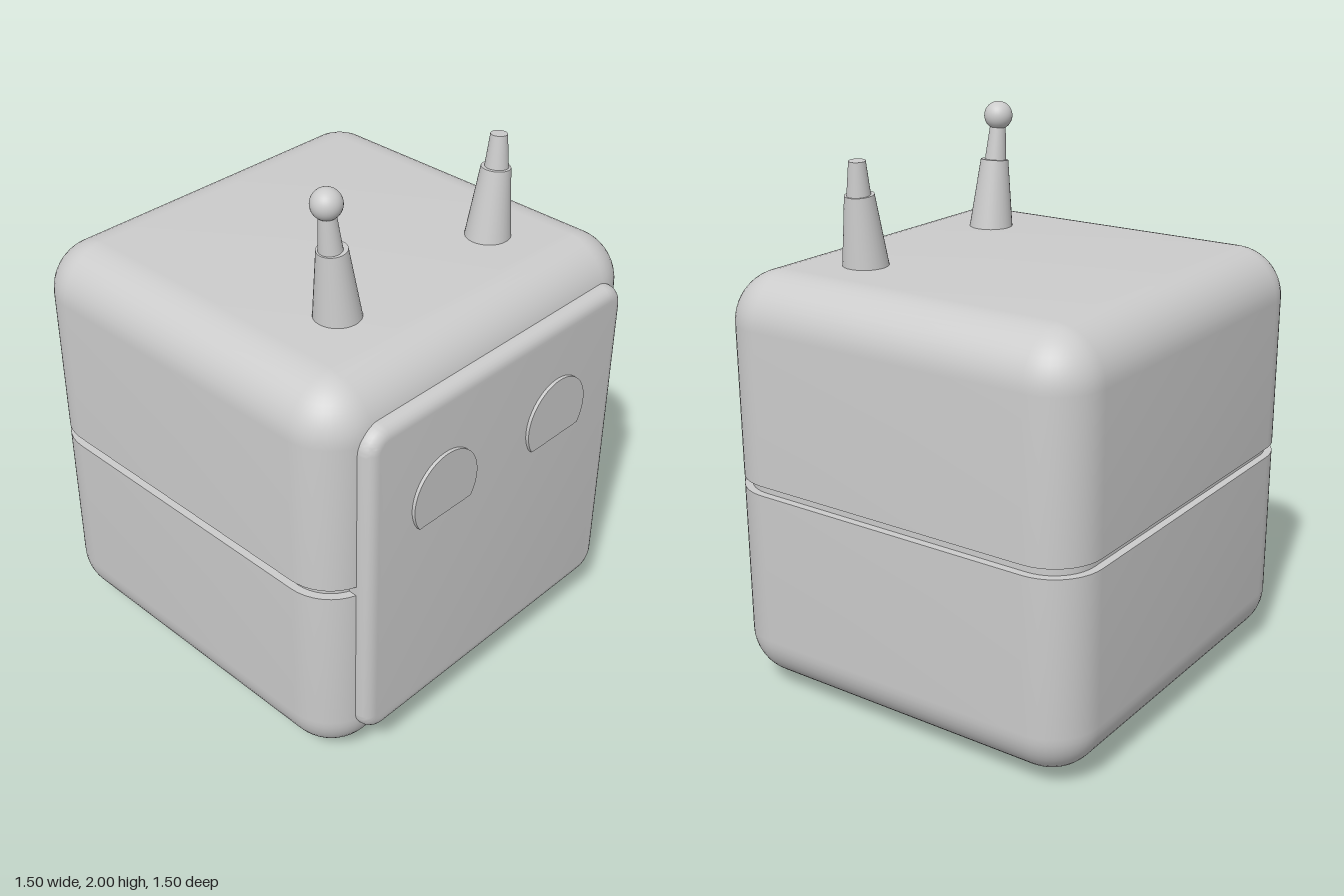
import * as THREE from 'three';
import { toCreasedNormals } from 'three/addons/utils/BufferGeometryUtils.js';

const material = new THREE.MeshStandardMaterial({ color: 0xcccccc });

function add(parent, name, geometry, x = 0, y = 0, z = 0) {
  const mesh = new THREE.Mesh(geometry, material);
  mesh.name = name;
  mesh.position.set(x, y, z);
  parent.add(mesh);
  return mesh;
}

// Rounded box whose horizontal sections are stacked from [inset, y] rows
function loftBody(x0, x1, z0, z1, r, rows, arc = 10) {
  const pos = [], idx = [];
  const corners = [[x1 - r, z1 - r], [x0 + r, z1 - r], [x0 + r, z0 + r], [x1 - r, z0 + r]];
  for (const [inset, y] of rows) {
    corners.forEach(([cx, cz], k) => {
      for (let i = 0; i <= arc; i++) {
        const a = (k + i / arc) * Math.PI / 2;
        pos.push(cx + (r - inset) * Math.cos(a), y, cz + (r - inset) * Math.sin(a));
      }
    });
  }
  const n = 4 * (arc + 1), last = (rows.length - 1) * n;
  for (let j = 0; j < rows.length - 1; j++) {
    for (let i = 0; i < n; i++) {
      const a = j * n + i, b = j * n + (i + 1) % n;
      idx.push(a, a + n, b, b, a + n, b + n);
    }
  }
  // Flat bottom and top
  const cx = (x0 + x1) / 2, cz = (z0 + z1) / 2, c = pos.length / 3;
  pos.push(cx, rows[0][1], cz, cx, rows[rows.length - 1][1], cz);
  for (let i = 0; i < n; i++) {
    const k = (i + 1) % n;
    idx.push(c, i, k, c + 1, last + k, last + i);
  }
  const g = new THREE.BufferGeometry();
  g.setAttribute('position', new THREE.Float32BufferAttribute(pos, 3));
  g.setIndex(idx);
  return toCreasedNormals(g, 0.6);
}

function roundedRect(w, h, r) {
  const s = new THREE.Shape();
  s.absarc(w / 2 - r, h / 2 - r, r, 0, Math.PI / 2);
  s.absarc(-w / 2 + r, h / 2 - r, r, Math.PI / 2, Math.PI);
  s.absarc(-w / 2 + r, -h / 2 + r, r, Math.PI, Math.PI * 1.5);
  s.absarc(w / 2 - r, -h / 2 + r, r, Math.PI * 1.5, Math.PI * 2);
  return s;
}

// Tapered cylinder running between two points
function taper(parent, name, from, to, r0, r1) {
  const a = new THREE.Vector3(...from), b = new THREE.Vector3(...to);
  const dir = b.clone().sub(a);
  const mesh = add(parent, name, new THREE.CylinderGeometry(r1, r0, dir.length(), 32));
  mesh.position.copy(a).add(b).multiplyScalar(0.5);
  mesh.quaternion.setFromUnitVectors(new THREE.Vector3(0, 1, 0), dir.normalize());
}

export function createModel() {
  const model = new THREE.Group();
  model.name = 'boxRobot';

  // Body with rounded edges and a groove around the middle
  const R = 0.18, bottom = 0.04, top = 1.545, steps = 12;
  const rows = [];
  for (let i = 0; i <= steps; i++) {
    const t = i / steps * Math.PI / 2;
    rows.push([R * (1 - Math.sin(t)), bottom + R * (1 - Math.cos(t))]);
  }
  const upper = rows.map(([inset, y]) => [inset, top + bottom - y]).reverse();
  rows.push([0, 0.78], [0.028, 0.78], [0.028, 0.815], [0, 0.815], ...upper);
  add(model, 'body', loftBody(-0.75, 0.692, -0.752, 0.752, R, rows));

  // Face panel with a soft front edge
  const bevel = 0.045;
  const panel = new THREE.ExtrudeGeometry(roundedRect(1.26 - 2 * bevel, 1.255 - 2 * bevel, 0.04), {
    depth: 0.1, bevelSize: bevel, bevelThickness: bevel, bevelSegments: 6, curveSegments: 8,
  });
  panel.rotateY(Math.PI / 2);
  add(model, 'facePanel', toCreasedNormals(panel, 0.6), 0.735 - 0.1 - bevel, 0.7925, 0);

  // Eyes: discs with the lower part cut off flat
  for (const [name, z] of [['eyeA', 0.285], ['eyeB', -0.28]]) {
    const cut = Math.asin(0.085 / 0.15);
    const shape = new THREE.Shape();
    shape.absarc(0, 0, 0.15, -cut, Math.PI + cut);
    const eye = new THREE.ExtrudeGeometry(shape, { depth: 0.03, bevelEnabled: false, curveSegments: 40 });
    eye.rotateY(Math.PI / 2);
    add(model, name, toCreasedNormals(eye, 0.6), 0.717, 1.04, z);
  }

  // Leaning two-stage antennas, one tipped with a ball
  const ballAntenna = new THREE.Group();
  ballAntenna.name = 'ballAntenna';
  taper(ballAntenna, 'antennaBase', [0.326, 1.5, 0.347], [0.325, 1.79, 0.373], 0.085, 0.051);
  taper(ballAntenna, 'antennaTip', [0.325, 1.76, 0.376], [0.321, 1.92, 0.39], 0.042, 0.028);
  add(ballAntenna, 'antennaBall', new THREE.SphereGeometry(0.052, 32, 20), 0.321, 1.95, 0.392);
  model.add(ballAntenna);

  const plainAntenna = new THREE.Group();
  plainAntenna.name = 'plainAntenna';
  taper(plainAntenna, 'antennaBase', [0.326, 1.5, -0.376], [0.324, 1.79, -0.404], 0.085, 0.051);
  taper(plainAntenna, 'antennaTip', [0.324, 1.76, -0.406], [0.32, 1.905, -0.415], 0.044, 0.029);
  model.add(plainAntenna);

  // Four short feet
  for (const x of [-0.492, 0.425]) {
    for (const z of [0.5, -0.47]) {
      add(model, 'foot', new THREE.CylinderGeometry(0.082, 0.082, 0.08, 32), x, 0.04, z);
    }
  }
  return model;
}
